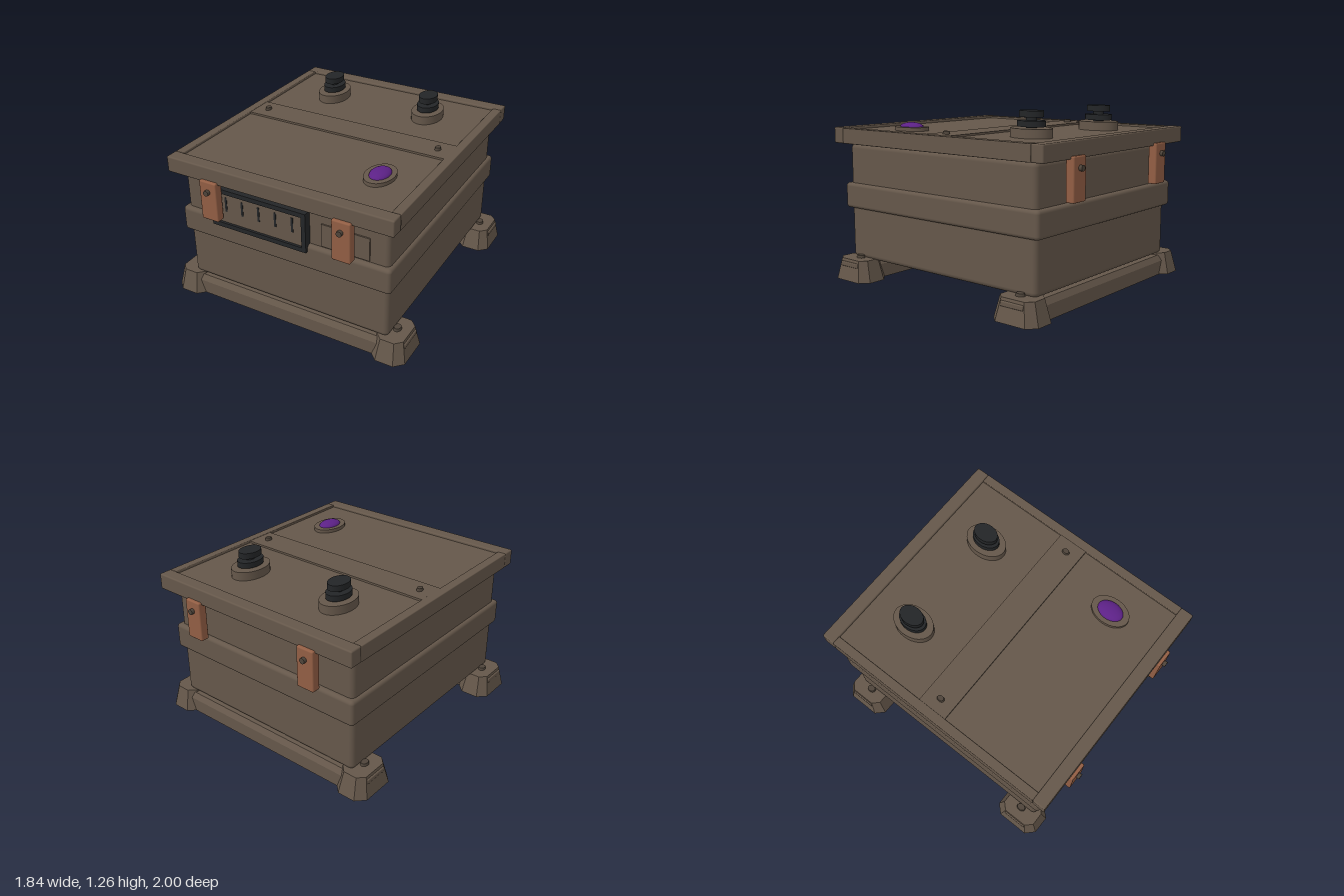
import * as THREE from 'three';
import { RoundedBoxGeometry } from 'three/addons/geometries/RoundedBoxGeometry.js';

const paint = (name, color) => {
  const m = new THREE.MeshStandardMaterial({ color });
  m.name = name;
  return m;
};

export function createModel() {
  const model = new THREE.Group();
  model.name = 'equipmentCase';
  const brown = paint('caseBrown', 0x65574a);
  const black = paint('black', 0x232527);
  const copper = paint('copper', 0x925e44);
  const purple = paint('purpleLens', 0x5c2186);
  const steel = paint('boltBrown', 0x4e443a);

  const add = (name, geometry, material, x = 0, y = 0, z = 0) => {
    const mesh = new THREE.Mesh(geometry, material);
    mesh.name = name;
    mesh.position.set(x, y, z);
    model.add(mesh);
    return mesh;
  };
  // Box given by its limits on each axis, optionally with rounded edges
  const box = (name, [x0, x1], [y0, y1], [z0, z1], material, r = 0) => {
    const s = [x1 - x0, y1 - y0, z1 - z0];
    const g = r ? new RoundedBoxGeometry(...s, 3, r) : new THREE.BoxGeometry(...s);
    return add(name, g, material, (x0 + x1) / 2, (y0 + y1) / 2, (z0 + z1) / 2);
  };
  // Upright elliptical disc
  const disc = (name, x, z, rx, rz, y0, y1, material, taper = 1) => {
    const g = new THREE.CylinderGeometry(taper, 1, y1 - y0, 32);
    g.scale(rx, 1, rz);
    return add(name, g, material, x, (y0 + y1) / 2, z);
  };
  // Block with chamfered corners in plan, narrowing towards the top
  const taperedBlock = (hx, hz, cut, h, topX, topZ) => {
    const pts = [[hx, -hz + cut], [hx, hz - cut], [hx - cut, hz], [-hx + cut, hz],
      [-hx, hz - cut], [-hx, -hz + cut], [-hx + cut, -hz], [hx - cut, -hz]];
    const shape = new THREE.Shape(pts.map(p => new THREE.Vector2(...p)));
    const g = new THREE.ExtrudeGeometry(shape, { depth: h, bevelEnabled: false });
    g.rotateX(-Math.PI / 2);
    const p = g.attributes.position;
    for (let i = 0; i < p.count; i++) {
      if (p.getY(i) > h / 2) p.setXYZ(i, p.getX(i) * topX, p.getY(i), p.getZ(i) * topZ);
    }
    g.computeVertexNormals();
    return g;
  };

  // Body and its raised belt
  box('body', [-0.78, 0.78], [0.145, 0.988], [-0.855, 0.86], brown, 0.035);
  box('belt', [-0.805, 0.805], [0.515, 0.70], [-0.89, 0.895], brown, 0.025);

  // Lid: recessed panels framed by bars
  box('lidPanel', [-0.79, 0.79], [0.99, 1.086], [-0.87, 0.87], brown);
  box('lidCrossStrip', [-0.79, 0.79], [1.06, 1.10], [-0.14, 0.08], brown);
  for (const s of [-1, 1]) {
    const endBar = box('lidEndBar', [-0.845, 0.845], [0.99, 1.105], [-0.048, 0.048], brown, 0.01);
    endBar.position.z = s * 0.905;
    const sideBar = box('lidSideBar', [-0.0325, 0.0325], [0.99, 1.103], [-0.858, 0.858], brown, 0.006);
    sideBar.position.x = s * 0.8125;
    disc('lidBolt', s * 0.69, -0.03, 0.022, 0.03, 1.095, 1.12, steel, 0.8);

    // Capped vents at the back of the lid
    disc('ventBase', s * 0.395, -0.515, 0.11, 0.155, 1.08, 1.148, brown);
    disc('ventLowerRing', s * 0.395, -0.515, 0.074, 0.104, 1.157, 1.197, black);
    disc('ventStem', s * 0.395, -0.515, 0.03, 0.04, 1.14, 1.23, black);
    disc('ventCap', s * 0.395, -0.515, 0.064, 0.09, 1.22, 1.262, black);
  }

  // Signal lamp on the lid
  disc('lampRing', 0.515, 0.485, 0.10, 0.144, 1.08, 1.112, brown);
  const dome = new THREE.SphereGeometry(1, 32, 10, 0, Math.PI * 2, 0, Math.PI / 2);
  dome.scale(0.068, 0.032, 0.097);
  add('lampLens', dome, purple, 0.515, 1.111, 0.485);

  // Latches with pins, front and back
  for (const sz of [-1, 1]) for (const sx of [-1, 1]) {
    const latch = box('latch', [-0.067, 0.067], [0.72, 1.01], [-0.032, 0.032], copper, 0.01);
    latch.position.x = sx * 0.5;
    latch.position.z = sz * 0.945;
    const pin = new THREE.CylinderGeometry(0.02, 0.02, 0.05, 16);
    pin.rotateX(Math.PI / 2);
    add('latchPin', pin, steel, sx * 0.5, 0.935, sz * 0.975);
  }

  // Front grille: open frame, inner panel and slots
  const rect = (w, h, Kind) => new Kind([[-w, -h], [w, -h], [w, h], [-w, h]]
    .map(p => new THREE.Vector2(p[0] / 2, p[1] / 2)));
  const frame = rect(0.74, 0.29, THREE.Shape);
  frame.holes.push(rect(0.675, 0.225, THREE.Path));
  add('grilleFrame', new THREE.ExtrudeGeometry(frame, { depth: 0.065, bevelEnabled: false }),
    black, -0.16, 0.797, 0.85);
  box('grillePanel', [-0.51, 0.19], [0.67, 0.92], [0.85, 0.897], brown);
  for (let i = 0; i < 5; i++) {
    const x = -0.42 + i * 0.13;
    box('grilleSlot', [x - 0.008, x + 0.008], [0.77, 0.877], [0.894, 0.9], black);
  }
  box('frontPlate', [0.30, 0.645], [0.71, 0.875], [0.85, 0.87], brown);

  // Corner feet with bolts, joined by skids at front and back
  for (const sz of [-1, 1]) {
    const skid = new THREE.Shape([[-0.12, 0], [0.12, 0], [0.12, 0.1], [0.095, 0.14],
      [-0.095, 0.14], [-0.12, 0.1]].map(p => new THREE.Vector2(...p)));
    const g = new THREE.ExtrudeGeometry(skid, { depth: 1.44, bevelEnabled: false });
    g.translate(0, 0, -0.72);
    g.rotateY(Math.PI / 2);
    add('skid', g, brown, 0, 0, sz * 0.77);
    for (const sx of [-1, 1]) {
      add('foot', taperedBlock(0.125, 0.177, 0.06, 0.155, 0.76, 0.77), brown, sx * 0.795, 0, sz * 0.762);
      const pad = box('footPad', [-0.02, 0.02], [0.10, 0.135], [-0.09, 0.09], brown, 0.008);
      pad.position.x = sx * 0.885;
      pad.position.z = sz * 0.762;
      disc('footBolt', sx * 0.80, sz * 0.75, 0.027, 0.035, 0.15, 0.174, steel, 0.85);
    }
  }
  return model;
}
